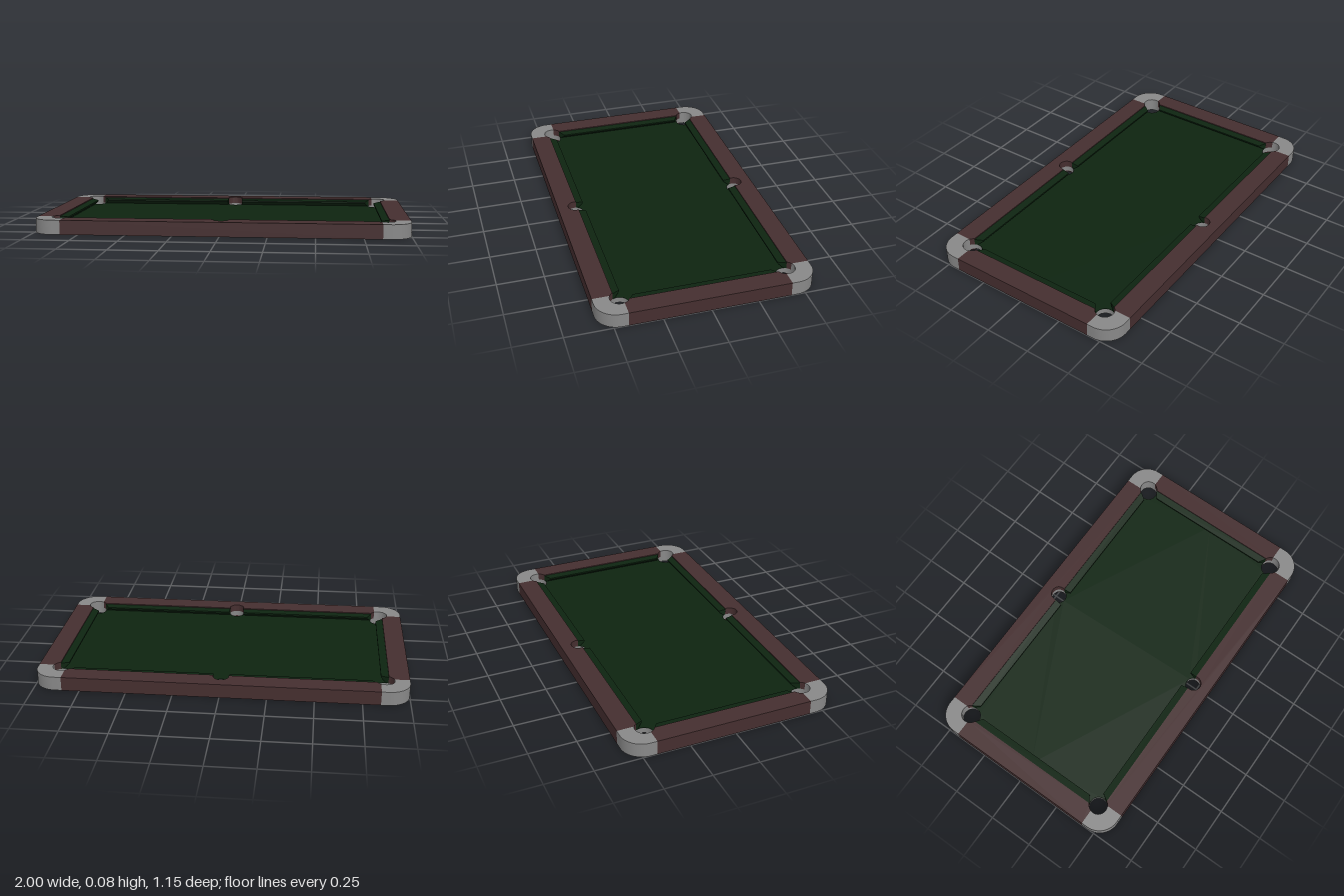
import * as THREE from 'three';
import { toCreasedNormals } from 'three/addons/utils/BufferGeometryUtils.js';

const H = 0.077;                 // rail height
const BED = [0.024, 0.038];      // underside and top of the bed
const CORNER = [0.87, 0.44, 0.05]; // corner pocket: x, z, radius
const SIDE = [0, 0.475, 0.042];    // side pocket

// Points along an arc in the x-z plane, angles in degrees
function arc([cx, cz, r], from, to, n = 12) {
  return Array.from({ length: n + 1 }, (_, i) => {
    const a = THREE.MathUtils.degToRad(from + (to - from) * i / n);
    return [cx + r * Math.cos(a), cz + r * Math.sin(a)];
  });
}

const flip = (pts, sx, sz) => pts.map(([x, z]) => [x * sx, z * sz]);

// Flat slab with an x-z outline between two heights
function slab(pts, y0, y1) {
  const shape = new THREE.Shape(pts.map(([x, z]) => new THREE.Vector2(x, z)));
  const g = new THREE.ExtrudeGeometry(shape, { depth: y1 - y0, bevelEnabled: false });
  g.rotateX(Math.PI / 2).translate(0, y1, 0);
  return toCreasedNormals(g, 0.6);
}

// Cushion running from a to b along x, with mitred ends and an undercut nose
function cushion(off, a, b, mitreA, mitreB) {
  const section = new THREE.Shape([[0, BED[1]], [0.015, BED[1]], [0.04, 0.058], [0.04, 0.066], [0, 0.072]]
    .map(([d, y]) => new THREE.Vector2(d, y)));
  const g = new THREE.ExtrudeGeometry(section, { depth: 1, bevelEnabled: false });
  const p = g.attributes.position;
  for (let i = 0; i < p.count; i++) {
    const d = p.getX(i), t = p.getZ(i);
    p.setXYZ(i, THREE.MathUtils.lerp(a + mitreA * d, b - mitreB * d, t), p.getY(i), off - d);
  }
  g.computeVertexNormals();
  return g;
}

export function createModel() {
  const model = new THREE.Group();
  const material = (name, color) => {
    const m = new THREE.MeshStandardMaterial({ color });
    m.name = name;
    return m;
  };
  const wood = material('dark wood', 0x452e2f);
  const cloth = material('green cloth', 0x0d2410);
  const metal = material('grey metal', 0x888888);
  const liner = material('grey pocket liner', 0x888888);
  liner.side = THREE.DoubleSide;

  const add = (name, geometry, mat) => {
    const m = new THREE.Mesh(geometry, mat);
    m.name = name;
    model.add(m);
    return m;
  };

  // Playing bed, notched at all six pockets
  const quarter = [...arc(SIDE, -90, -13.8, 6), ...arc(CORNER, 150, 293.6), [0.89, 0]];
  const half = [...quarter, ...flip(quarter, 1, -1).reverse().slice(1)];
  const bed = [...half, ...flip(half, -1, 1).reverse().slice(1, -1)];
  add('bed', slab(bed, ...BED), cloth);

  // Rails
  const longHalf = [...arc(SIDE, 90, -13.8), ...arc(CORNER, 150, 120, 4), [0.845, 0.575]];
  const longRail = [...longHalf, ...flip(longHalf, -1, 1).reverse().slice(0, -1)];
  const endHalf = [...arc(CORNER, -66.4, -17.5, 5), [1, 0.425]];
  const endRail = [...endHalf, ...flip(endHalf, 1, -1).reverse()];
  for (const s of [1, -1]) {
    add(s > 0 ? 'frontRail' : 'backRail', slab(flip(longRail, 1, s), 0, H), wood);
    add(s > 0 ? 'leftRail' : 'rightRail', slab(flip(endRail, s, 1), 0, H), wood);
  }

  // Rounded corner caps and pocket liners
  const cap = [...arc(CORNER, -17.5, 120, 16), [0.845, 0.575], ...arc([0.885, 0.46, 0.115], 90, 0, 14), [1, 0.425]];
  const tube = (name, [x, z, r], sx, sz) => {
    const g = new THREE.CylinderGeometry(r - 0.001, r - 0.001, 0.03, 24, 1, true);
    add(name, g, liner).position.set(x * sx, 0.023, z * sz);
  };
  for (const sz of [1, -1]) {
    for (const sx of [1, -1]) {
      add('cornerCap', slab(flip(cap, sx, sz), 0, H), metal);
      tube('cornerPocketLiner', CORNER, sx, sz);
    }
    tube('sidePocketLiner', SIDE, 1, sz);
  }

  // Cushions: two along each long rail, one along each end rail
  for (const turn of [0, Math.PI]) {
    add('longCushion', cushion(0.465, 0.041, 0.827, 0.1, 0.65), cloth).rotation.y = turn;
    add('longCushion', cushion(0.465, -0.827, -0.041, 0.65, 0.1), cloth).rotation.y = turn;
    add('endCushion', cushion(0.89, -0.394, 0.394, 0.65, 0.65), cloth).rotation.y = turn + Math.PI / 2;
  }
  return model;
}
